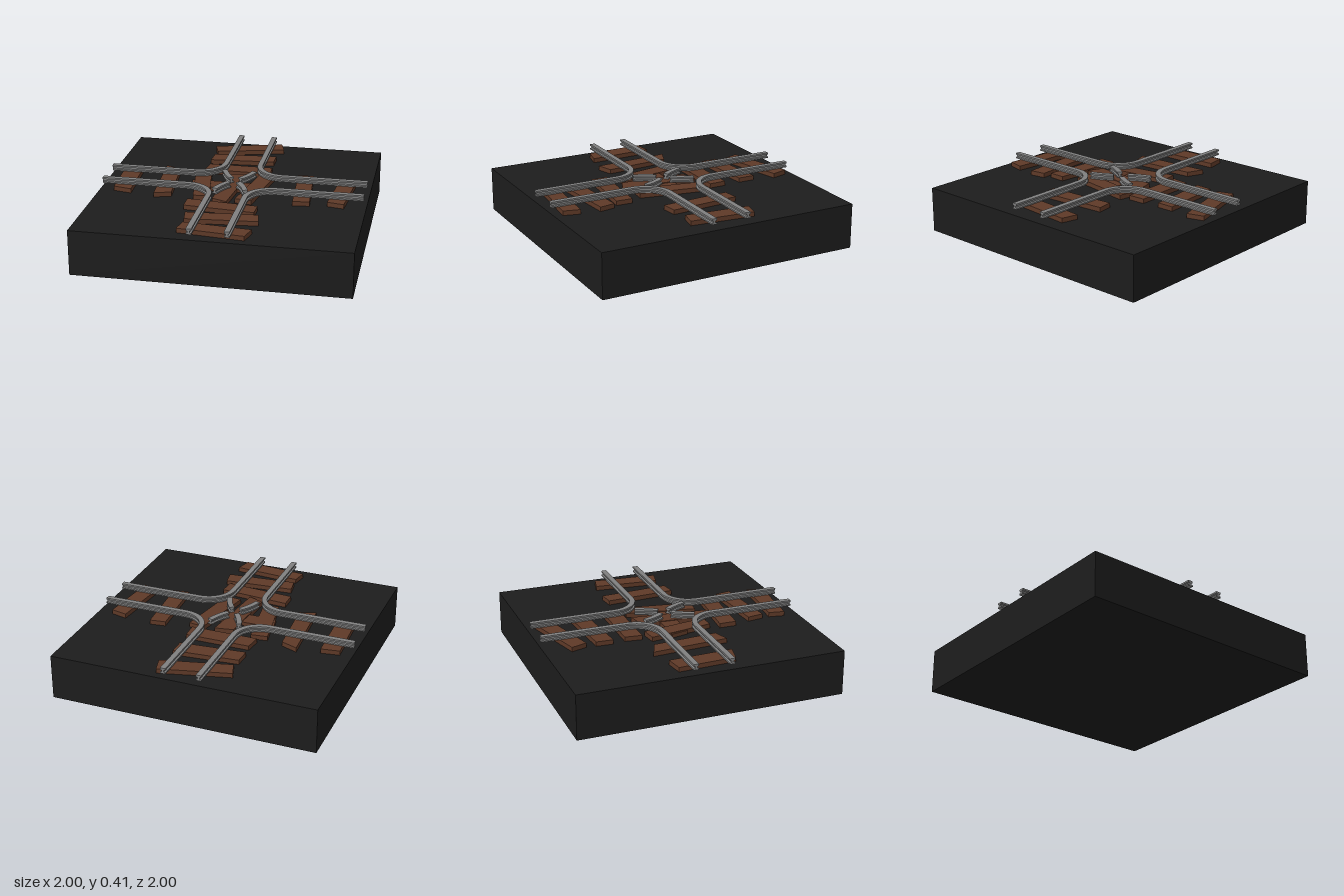
import * as THREE from 'three';
import { toCreasedNormals } from 'three/addons/utils/BufferGeometryUtils.js';

const GROUND = 0.338, TIE_TOP = 0.372, RAIL_TOP = 0.415;
const groundMat = new THREE.MeshStandardMaterial({ color: 0x1c1c1c });
const woodMat = new THREE.MeshStandardMaterial({ color: 0x5e3927 });
const steelMat = new THREE.MeshStandardMaterial({ color: 0x808080 });

// Half of the I-shaped rail section (offset, height), mirrored into a closed loop
const half = [[0.02, TIE_TOP], [0.02, 0.382], [0.008, 0.386], [0.008, 0.398], [0.02, 0.402], [0.02, RAIL_TOP]];
const section = [...half, ...half.map(([u, v]) => [-u, v]).reverse()];

// Sweeps the rail section along a flat path of Vector2(x, z)
function railGeometry(path) {
  const pos = [], n = section.length;
  const rings = path.map((p, i) => {
    const a = p.clone().sub(path[Math.max(i - 1, 0)]).normalize();
    const b = path[Math.min(i + 1, path.length - 1)].clone().sub(p).normalize();
    const t = a.add(b).normalize();
    return section.map(([u, v]) => [p.x + t.y * u, v, p.y - t.x * u]);
  });
  for (let i = 0; i < rings.length - 1; i++) {
    for (let j = 0; j < n; j++) {
      const k = (j + 1) % n;
      const [a, b, c, d] = [rings[i][j], rings[i][k], rings[i + 1][k], rings[i + 1][j]];
      pos.push(...a, ...b, ...c, ...a, ...c, ...d);
    }
  }
  // End caps
  const first = rings[0], last = rings[rings.length - 1];
  const faces = THREE.ShapeUtils.triangulateShape(section.map(([u, v]) => new THREE.Vector2(u, v)), []);
  for (const [a, b, c] of faces) {
    pos.push(...last[a], ...last[b], ...last[c], ...first[a], ...first[c], ...first[b]);
  }
  const geo = new THREE.BufferGeometry();
  geo.setAttribute('position', new THREE.Float32BufferAttribute(pos, 3));
  return toCreasedNormals(geo, 0.5);
}

// Plank from four ground-plan corners (x, z)
function tieGeometry(c, top) {
  const shape = new THREE.Shape();
  shape.moveTo(c[0], -c[1]);
  for (let i = 2; i < 8; i += 2) shape.lineTo(c[i], -c[i + 1]);
  shape.closePath();
  const geo = new THREE.ExtrudeGeometry(shape, { depth: top - GROUND + 0.005, bevelEnabled: false });
  return geo.rotateX(-Math.PI / 2).translate(0, GROUND - 0.005, 0);
}

export function createModel() {
  const model = new THREE.Group();
  model.name = 'railCrossing';
  const add = (name, geo, mat, parent = model) => {
    const mesh = new THREE.Mesh(geo, mat);
    mesh.name = name;
    parent.add(mesh);
    return mesh;
  };

  // Ground slab
  add('groundSlab', new THREE.BoxGeometry(2, GROUND, 2).translate(0, GROUND / 2, 0), groundMat);

  // Crooked wooden ties
  const ties = new THREE.Group();
  ties.name = 'ties';
  model.add(ties);
  const arms = {
    backTie: [
      [-0.32, -0.81, 0.2, -0.945, 0.235, -0.82, -0.28, -0.69],
      [-0.29, -0.62, 0.2, -0.66, 0.2, -0.53, -0.295, -0.49],
      [-0.28, -0.4, 0.21, -0.4, 0.215, -0.27, -0.295, -0.27]],
    frontTie: [
      [-0.295, 0.34, 0.235, 0.39, 0.23, 0.515, -0.295, 0.47],
      [-0.255, 0.59, 0.27, 0.55, 0.29, 0.67, -0.235, 0.715],
      [-0.23, 0.77, 0.27, 0.815, 0.24, 0.94, -0.25, 0.89]],
    rightTie: [
      [-0.91, -0.23, -0.77, -0.25, -0.75, 0.235, -0.89, 0.205],
      [-0.605, -0.3, -0.48, -0.25, -0.44, 0.24, -0.565, 0.28]],
    leftTie: [
      [0.43, -0.275, 0.55, -0.29, 0.59, 0.24, 0.465, 0.255],
      [0.76, -0.27, 0.885, -0.24, 0.84, 0.245, 0.715, 0.22]],
    centreTie: [
      [-0.355, -0.215, -0.23, -0.23, -0.15, 0.265, -0.27, 0.27],
      [-0.085, -0.205, 0.055, -0.23, -0.005, 0.35, -0.12, 0.3],
      [0.14, -0.24, 0.26, -0.22, 0.17, 0.295, 0.045, 0.28]],
  };
  for (const [name, list] of Object.entries(arms)) {
    list.forEach((c, i) => add(name + (i + 1), tieGeometry(c, TIE_TOP), woodMat, ties));
  }
  add('crossTie', tieGeometry([-0.345, -0.055, 0.165, -0.06, 0.14, 0.075, -0.315, 0.075], TIE_TOP - 0.005), woodMat, ties);

  // Rails: one bent rail per corner and one short curved piece at the centre of each
  const rails = new THREE.Group();
  rails.name = 'rails';
  model.add(rails);
  const R = 0.2, CX = -0.006, CZ = 0.012;
  for (const sx of [-1, 1]) {
    for (const sz of [-1, 1]) {
      const x = CX + sx * 0.134, z = sz * 0.135;
      const path = [new THREE.Vector2(x, sz < 0 ? -0.99 : 0.985)];
      for (let i = 0; i <= 12; i++) {
        const a = (i / 12) * Math.PI / 2;
        path.push(new THREE.Vector2(x + sx * R * (1 - Math.cos(a)), z + sz * R * (1 - Math.sin(a))));
      }
      path.push(new THREE.Vector2(sx < 0 ? -0.99 : 0.975, z));
      add('cornerRail', railGeometry(path), steelMat, rails);

      const at = (u, v) => new THREE.Vector2(CX + sx * u, CZ + sz * v);
      const bend = new THREE.QuadraticBezierCurve(at(0.114, 0.197), at(0.088, 0.11), at(0.034, 0.041));
      add('crossingRail', railGeometry(bend.getPoints(6)), steelMat, rails);
    }
  }
  return model;
}
